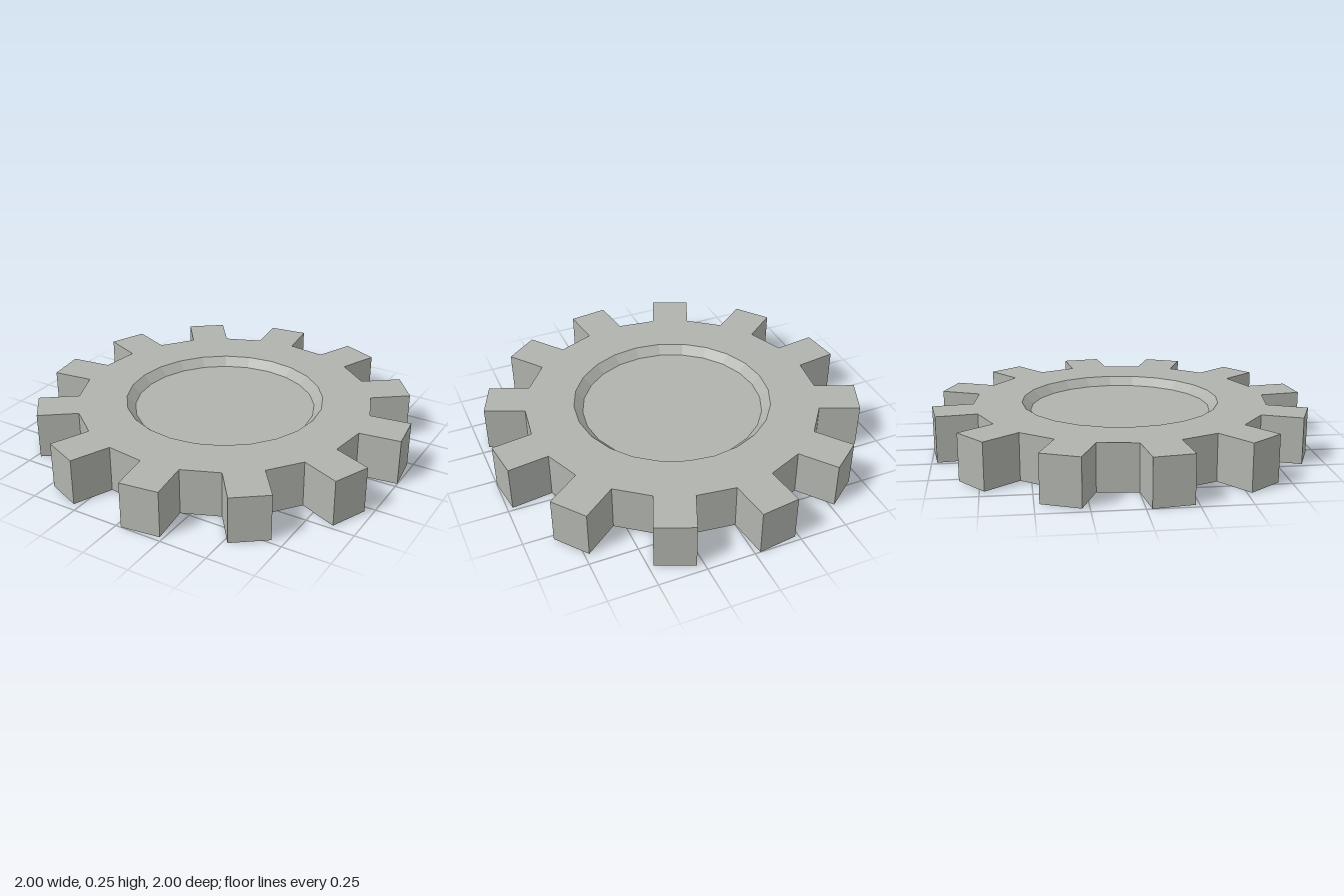
import * as THREE from 'three';

const TEETH = 12, HEIGHT = 0.245;
const ROOT_R = 0.784, TOOTH_LEN = 0.217;
const RIM_R = 0.527, FLOOR_R = 0.482, RECESS = 0.045;

// point at a clockwise angle from the back (-z), as seen from above
const polar = (r, a) => new THREE.Vector2(r * Math.sin(a), r * Math.cos(a));

// root polygon of 24 sides, every second side pushed out as a parallel-sided tooth
function gearOutline() {
  const step = Math.PI / TEETH;
  const points = [];
  for (let i = 0; i < TEETH; i++) {
    const a = (2 * i + 1) * step, b = a + step;
    const out = polar(TOOTH_LEN, (a + b) / 2);
    const start = polar(ROOT_R, a), end = polar(ROOT_R, b);
    points.push(start, start.clone().add(out), end.clone().add(out), end);
  }
  return points;
}

export function createModel() {
  const model = new THREE.Group();
  model.name = 'gear';
  const steel = new THREE.MeshStandardMaterial({ color: 0xb0b3ad, flatShading: true });
  steel.name = 'greySteel';

  // toothed ring, open in the middle
  const shape = new THREE.Shape(gearOutline());
  const hole = [];
  for (let i = 0; i < 24; i++) hole.push(polar(RIM_R, (i * Math.PI) / 12));
  shape.holes.push(new THREE.Path(hole));
  const ringGeo = new THREE.ExtrudeGeometry(shape, { depth: HEIGHT, bevelEnabled: false });
  ringGeo.rotateX(-Math.PI / 2);
  const ring = new THREE.Mesh(ringGeo, steel);
  ring.name = 'toothedRing';
  model.add(ring);

  // centre disc with a sloped recess on both faces
  const profile = [
    [0, RECESS], [FLOOR_R, RECESS], [RIM_R, 0],
    [RIM_R, HEIGHT], [FLOOR_R, HEIGHT - RECESS], [0, HEIGHT - RECESS],
  ].map(([r, y]) => new THREE.Vector2(r, y));
  const disc = new THREE.Mesh(new THREE.LatheGeometry(profile, 24), steel);
  disc.name = 'recessedCentre';
  model.add(disc);

  return model;
}
